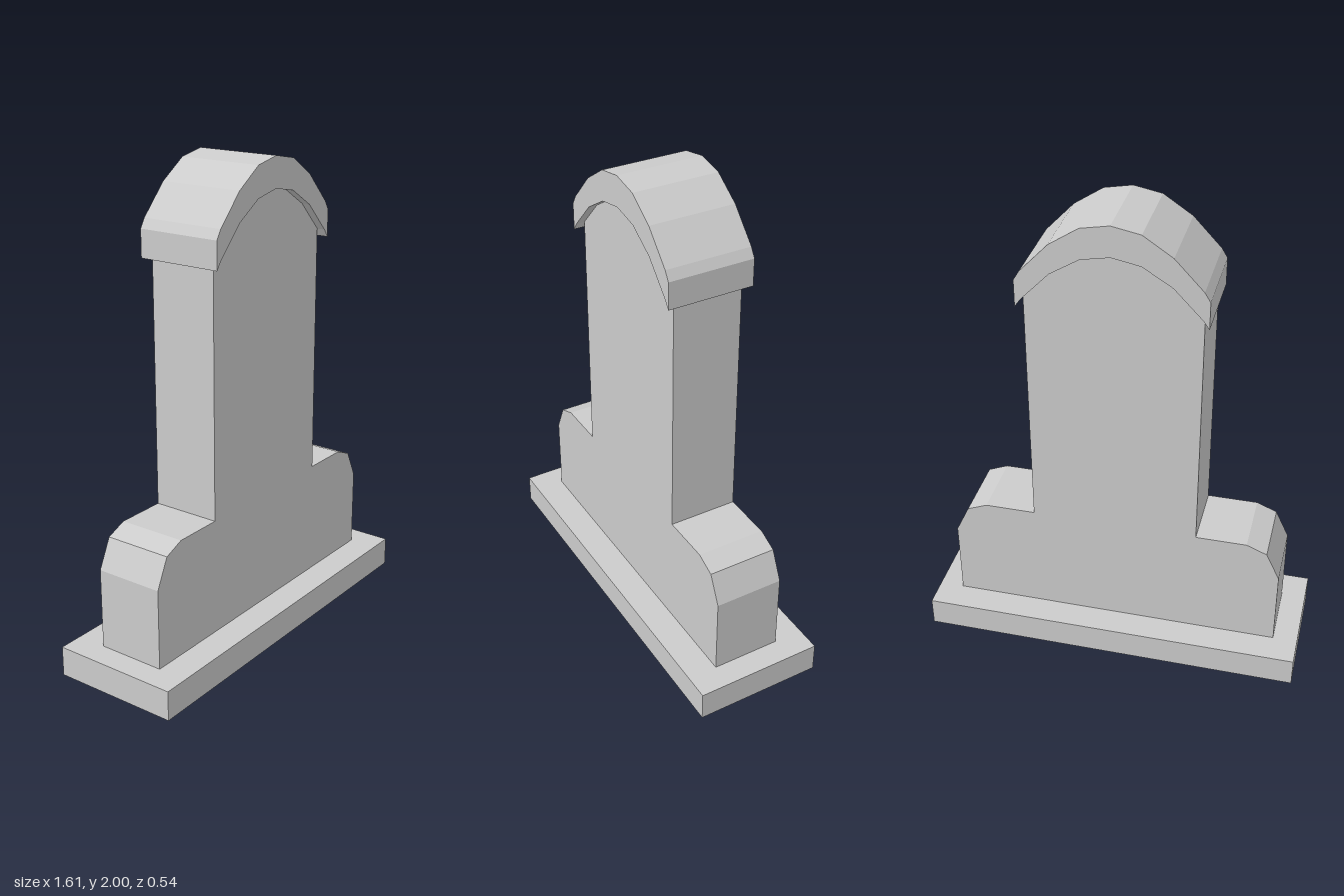
import * as THREE from 'three';

const material = new THREE.MeshStandardMaterial({ color: 0xcccccc, flatShading: true });

// Mirror a right-hand profile (running from the centre line outwards) to the left
const mirror = (pts) => pts.filter(([x]) => x > 0).map(([x, y]) => [-x, y]).reverse();

// Extrude a closed outline, centred on z = 0
function slab(name, outline, depth) {
  const shape = new THREE.Shape(outline.map(([x, y]) => new THREE.Vector2(x, y)));
  const geometry = new THREE.ExtrudeGeometry(shape, { depth, bevelEnabled: false });
  geometry.translate(0, 0, -depth / 2);
  const mesh = new THREE.Mesh(geometry, material);
  mesh.name = name;
  return mesh;
}

export function createModel() {
  const group = new THREE.Group();
  group.name = 'headstone';

  // Plinth
  const plinth = new THREE.Mesh(new THREE.BoxGeometry(1.61, 0.125, 0.54), material);
  plinth.name = 'plinth';
  plinth.position.y = 0.0625;
  group.add(plinth);

  // Arc shared by the top of the stone and the underside of the cap
  const arc = [[0, 1.875], [0.115, 1.853], [0.233, 1.78], [0.348, 1.66]];

  // Upright stone with chamfered shoulders
  const side = [...arc, [0.348, 0.615], [0.56, 0.615], [0.645, 0.58], [0.702, 0.46], [0.702, 0.125]];
  group.add(slab('stone', [...side, ...mirror(side)], 0.29));

  // Arched cap overhanging the stone
  const outer = [[0, 2], [0.115, 1.978], [0.233, 1.9], [0.348, 1.778], [0.371, 1.74]];
  const inner = [...arc, [0.371, 1.627]];
  const top = [...mirror(outer), ...outer];
  const under = [...mirror(inner), ...inner].reverse();
  group.add(slab('cap', [...top, ...under], 0.36));

  return group;
}
